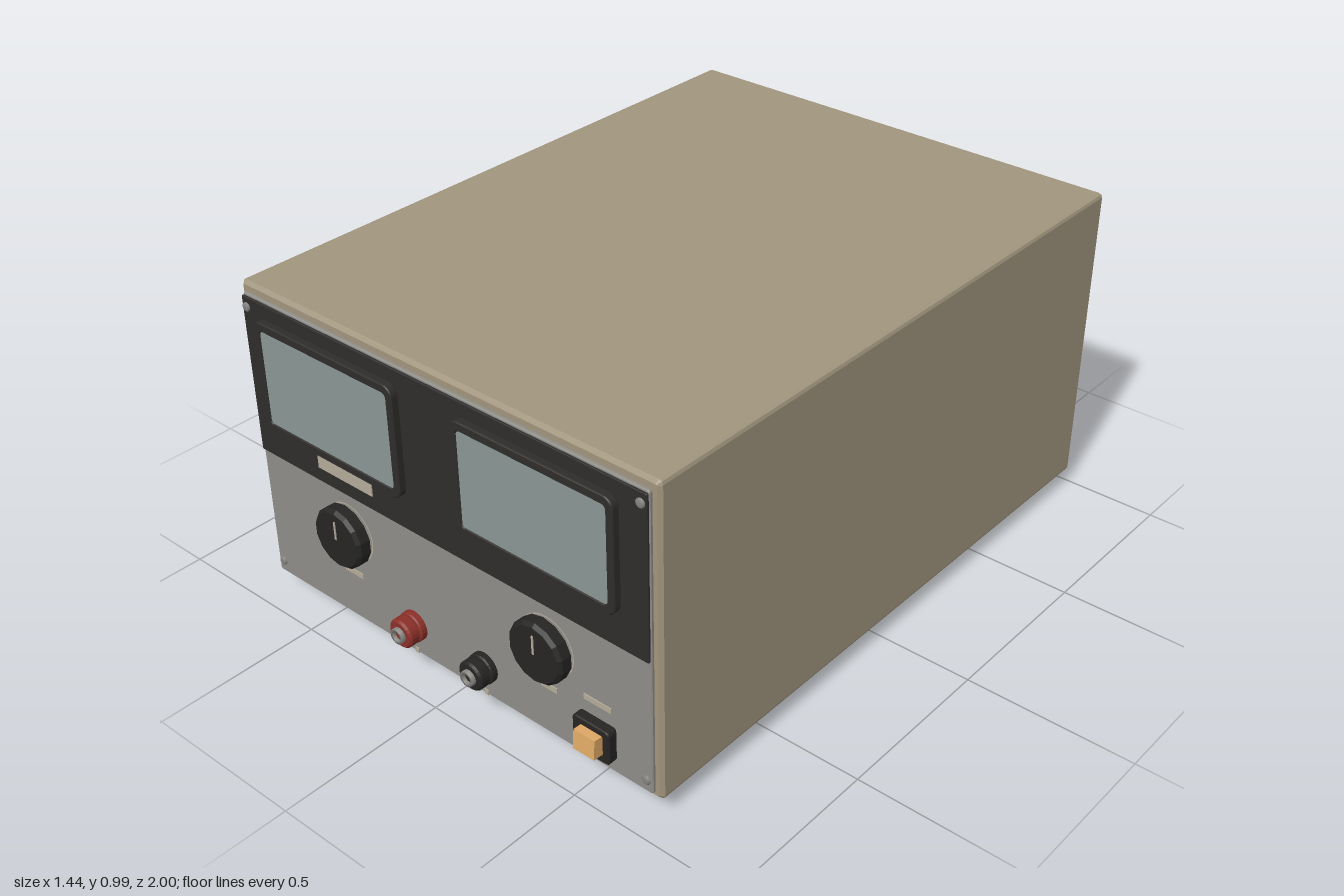
import * as THREE from 'three';

const mat = (color) => new THREE.MeshStandardMaterial({ color });
const tan = mat(0xa1957d), dark = mat(0x2f2d2b), grey = mat(0x8f8d88), black = mat(0x262524);
const glass = mat(0x8a9795), red = mat(0x8c3029), amber = mat(0xe0aa66), label = mat(0xb4ab99), steel = mat(0x85837f);

// Rounded rectangle outline; works for both Shape and Path
function roundedRect(path, w, h, r, cx = 0, cy = 0) {
  const x = w / 2, y = h / 2;
  path.moveTo(cx - x + r, cy - y);
  path.lineTo(cx + x - r, cy - y).absarc(cx + x - r, cy - y + r, r, -Math.PI / 2, 0, false);
  path.lineTo(cx + x, cy + y - r).absarc(cx + x - r, cy + y - r, r, 0, Math.PI / 2, false);
  path.lineTo(cx - x + r, cy + y).absarc(cx - x + r, cy + y - r, r, Math.PI / 2, Math.PI, false);
  path.lineTo(cx - x, cy - y + r).absarc(cx - x + r, cy - y + r, r, Math.PI, Math.PI * 1.5, false);
  return path;
}

// Plate in the xy plane from z = 0 to z = d, with chamfered edges and optional holes
function plate(w, h, d, r, bevel = 0, holes = [], curveSegments = 4) {
  const shape = roundedRect(new THREE.Shape(), w - 2 * bevel, h - 2 * bevel, r);
  shape.holes = holes;
  const geo = new THREE.ExtrudeGeometry(shape, {
    depth: d - 2 * bevel, bevelEnabled: bevel > 0, bevelSize: bevel, bevelThickness: bevel, bevelSegments: 1, curveSegments,
  });
  return geo.translate(0, 0, bevel);
}

// Profile of [radius, z] points turned around the z axis
function turned(points, segments) {
  return new THREE.LatheGeometry(points.map(([r, z]) => new THREE.Vector2(r, z)), segments).rotateX(Math.PI / 2);
}

function add(parent, name, geo, material, x = 0, y = 0, z = 0) {
  const mesh = new THREE.Mesh(geo, material);
  mesh.name = name;
  mesh.position.set(x, y, z);
  parent.add(mesh);
  return mesh;
}

function group(parent, name, x, y, z) {
  const g = new THREE.Group();
  g.name = name;
  g.position.set(x, y, z);
  parent.add(g);
  return g;
}

export function createModel() {
  const model = new THREE.Group();
  model.name = 'benchPowerSupply';

  // Cabinet and feet
  add(model, 'cabinet', plate(1.44, 0.935, 1.905, 0.004, 0.01, [], 1), tan, 0, 0.5225, -0.985);
  for (const x of [-0.575, 0.575]) {
    for (const z of [-0.745, 0.75]) {
      add(model, 'foot', new THREE.CylinderGeometry(0.052, 0.05, 0.06, 20), black, x, 0.03, z);
    }
  }

  // Front panel: grey lower half, dark upper fascia
  add(model, 'frontPanel', plate(1.4, 0.89, 0.012, 0.005, 0.003), grey, 0, 0.52, 0.92);
  add(model, 'upperFascia', plate(1.396, 0.475, 0.008, 0.003, 0.002), dark, 0, 0.7215, 0.931);
  const front = 0.932;

  // Corner screws
  for (const x of [-0.68, 0.68]) {
    for (const [y, z] of [[0.93, 0.939], [0.113, front]]) {
      add(model, 'panelScrew', turned([[0.013, -0.002], [0.013, 0.004], [0.009, 0.007], [0, 0.007]], 14), steel, x, y, z);
    }
  }

  // Two meters with raised bezels and windows
  for (const x of [-0.362, 0.36]) {
    const meter = group(model, 'meter', x, 0.76, 0.938);
    add(meter, 'meterBody', plate(0.49, 0.3, 0.012, 0.02), black);
    const opening = roundedRect(new THREE.Path(), 0.482, 0.284, 0.014);
    add(meter, 'meterBezel', plate(0.524, 0.33, 0.024, 0.026, 0.003, [opening]), dark, 0, 0, 0.007);
    add(meter, 'meterWindow', plate(0.482, 0.284, 0.019, 0.014), glass, 0, 0, 0.009);
  }

  // Control knobs with dial rings and pointers
  const knobMaterial = black.clone();
  knobMaterial.flatShading = true;
  for (const x of [-0.363, 0.361]) {
    const knob = group(model, 'knob', x, 0.36, front);
    add(knob, 'dialRing', new THREE.RingGeometry(0.085, 0.089, 40), label, 0, 0, 0.001);
    add(knob, 'knobShaft', turned([[0.06, 0], [0.06, 0.014]], 24), black);
    add(knob, 'knobCap', turned([[0, 0.01], [0.091, 0.01], [0.091, 0.04], [0.082, 0.05], [0, 0.05]], 14), knobMaterial);
    add(knob, 'knobPointer', new THREE.BoxGeometry(0.006, 0.056, 0.003), label, 0, 0.03, 0.051);
  }

  // Binding post terminals
  for (const [x, material] of [[-0.132, red], [0.13, black]]) {
    const post = group(model, 'terminal', x, 0.167, front);
    const postMaterial = material.clone();
    postMaterial.flatShading = true;
    add(post, 'terminalCollar', turned([[0.045, 0], [0.045, 0.016], [0.041, 0.02], [0.028, 0.02]], 24), postMaterial);
    add(post, 'terminalCap', turned([[0.028, 0.02], [0.028, 0.026], [0.043, 0.026], [0.043, 0.05], [0.037, 0.056], [0, 0.056]], 24), postMaterial);
    add(post, 'terminalSocket', turned([[0.023, 0.054], [0.023, 0.068], [0.014, 0.068], [0.014, 0.057]], 20), steel);
    add(post, 'terminalHole', new THREE.CircleGeometry(0.015, 20), material, 0, 0, 0.058);
    add(model, 'terminalMark', new THREE.BoxGeometry(0.014, 0.016, 0.003), label, x, 0.083, front + 0.001);
  }

  // Power switch
  const powerSwitch = group(model, 'powerSwitch', 0.525, 0.169, front);
  add(powerSwitch, 'switchFrame', plate(0.122, 0.104, 0.03, 0.01, 0.003,
    [roundedRect(new THREE.Path(), 0.08, 0.066, 0.004)]), black);
  add(powerSwitch, 'switchWell', new THREE.BoxGeometry(0.09, 0.076, 0.012), black, 0, 0, 0.008);
  const rocker = add(powerSwitch, 'switchRocker', new THREE.BoxGeometry(0.07, 0.058, 0.044), amber, 0, 0, 0.033);
  rocker.rotation.x = -0.08;

  // Blank label strips
  for (const [x, y, w, h, z] of [
    [-0.35, 0.55, 0.21, 0.04, 0.939], [-0.363, 0.228, 0.07, 0.016, front],
    [0.361, 0.228, 0.055, 0.016, front], [0.525, 0.266, 0.09, 0.016, front],
  ]) {
    add(model, 'labelStrip', new THREE.BoxGeometry(w, h, 0.004), label, x, y, z + 0.001);
  }

  // Rear panel with ventilation slots (seven rows, two columns)
  const slots = [];
  for (let row = 0; row < 7; row++) {
    for (const x of [0.315, -0.262]) {
      slots.push(roundedRect(new THREE.Path(), 0.52, 0.02, 0.004, x, 0.31 - row * 0.0917));
    }
  }
  add(model, 'rearPanel', plate(1.3, 0.82, 0.01, 0.003, 0, slots), dark, 0, 0.53, -0.994);

  // Cable gland on the rear panel
  const gland = add(model, 'cableGland', turned([[0.046, 0], [0.046, 0.008], [0.04, 0.01], [0.02, 0.01], [0.018, 0.007], [0, 0.007]], 20), black, -0.4, 0.395, -0.99);
  gland.rotation.y = Math.PI;

  return model;
}
